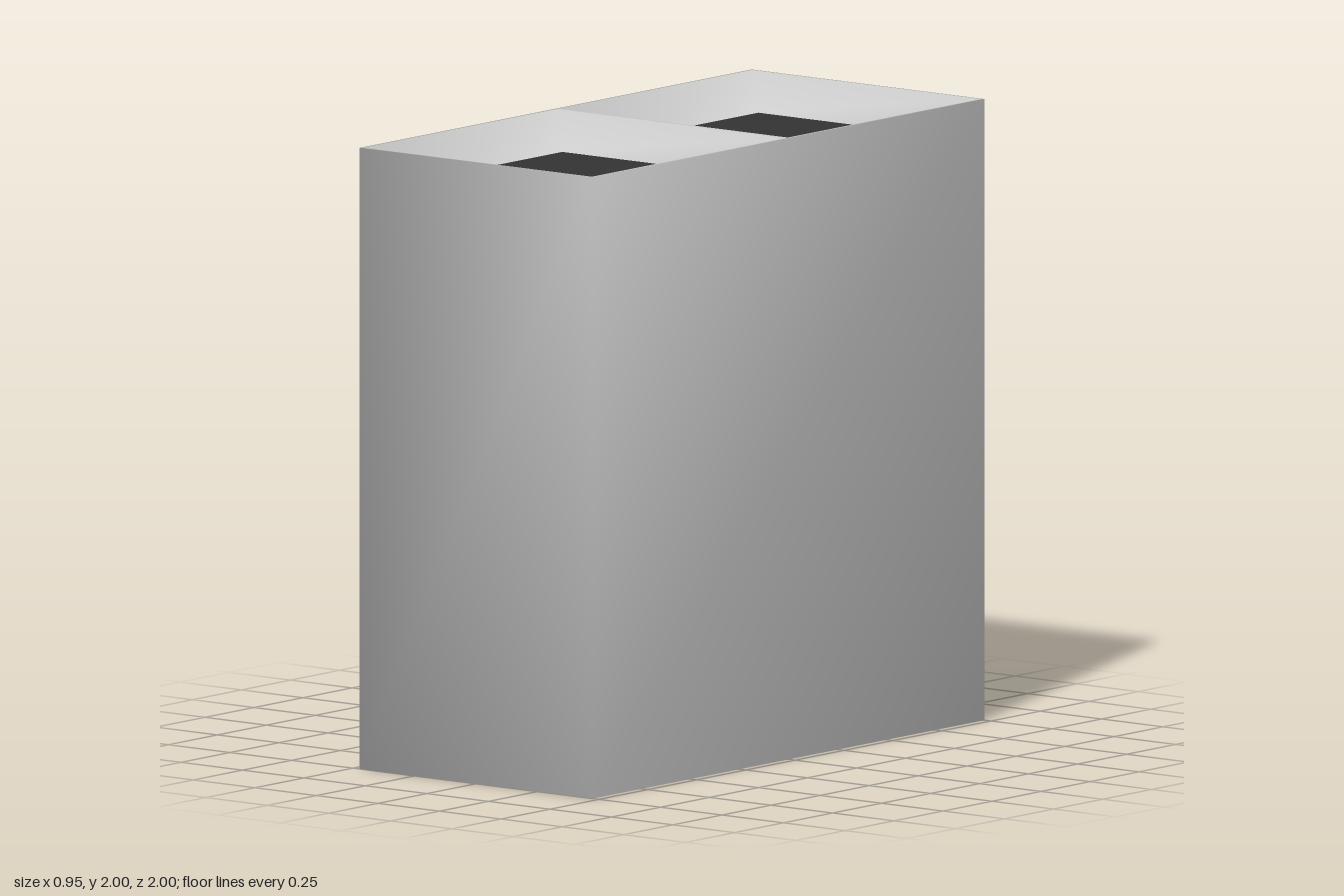
import * as THREE from 'three';
import { mergeGeometries, mergeVertices } from 'three/addons/utils/BufferGeometryUtils.js';

const W = 0.473, D = 1, H = 2;      // half width, half depth, height
const WALL = 0.01;                  // rim thickness
const DROP = 0.1;                   // depth of the funnels
const CENTRES = [-0.5, 0.5];        // z of the two funnels
const IN_W = W - WALL, IN_D = 0.5 - WALL;
const PANEL_W = 0.305, PANEL_D = 0.323;

// Rectangle of four corners, counter-clockwise from above
const rect = (w, d, y, z = 0) => [[-w, y, z + d], [w, y, z + d], [w, y, z - d], [-w, y, z - d]];

// Four-sided band from a lower loop to an upper one, facing outward
function band(low, high) {
  const out = [];
  for (let i = 0; i < 4; i++) {
    const j = (i + 1) % 4;
    out.push(low[i], low[j], high[j], low[i], high[j], high[i]);
  }
  return out;
}

function fromTriangles(points) {
  const g = new THREE.BufferGeometry();
  g.setAttribute('position', new THREE.Float32BufferAttribute(points.flat(), 3));
  return g;
}

function bodyGeometry() {
  // Outer walls and underside
  const base = rect(W, D, 0), top = rect(W, D, H);
  const [a, b, c, d] = base;
  const tris = [...band(base, top), a, c, b, a, d, c];

  // Funnels sloping down to the panels
  for (const z of CENTRES) {
    tris.push(...band(rect(IN_W, IN_D, H, z), rect(PANEL_W, PANEL_D, H - DROP, z)));
  }

  // Thin rim and divider
  const outline = (w, d, z) => rect(w, d, 0, z).map(p => new THREE.Vector2(p[0], -p[2]));
  const shape = new THREE.Shape(outline(W, D, 0));
  for (const z of CENTRES) shape.holes.push(new THREE.Path(outline(IN_W, IN_D, z)));
  const rim = new THREE.ShapeGeometry(shape).rotateX(-Math.PI / 2).translate(0, H, 0).toNonIndexed();
  rim.deleteAttribute('normal');
  rim.deleteAttribute('uv');

  // Shared corners give smooth shading over the whole shell
  const g = mergeVertices(mergeGeometries([fromTriangles(tris), rim]), 1e-4);
  g.computeVertexNormals();
  return g;
}

export function createModel() {
  const group = new THREE.Group();
  group.name = 'twinOpeningBlock';

  const body = new THREE.Mesh(bodyGeometry(), new THREE.MeshStandardMaterial({ color: 0xcccccc }));
  body.name = 'body';
  group.add(body);

  // Dark panels at the bottom of the funnels
  const dark = new THREE.MeshStandardMaterial({ color: 0x333333 });
  CENTRES.forEach((z, i) => {
    const panel = new THREE.Mesh(new THREE.PlaneGeometry(PANEL_W * 2, PANEL_D * 2), dark);
    panel.rotation.x = -Math.PI / 2;
    panel.position.set(0, H - DROP, z);
    panel.name = i ? 'frontOpening' : 'backOpening';
    group.add(panel);
  });
  return group;
}
